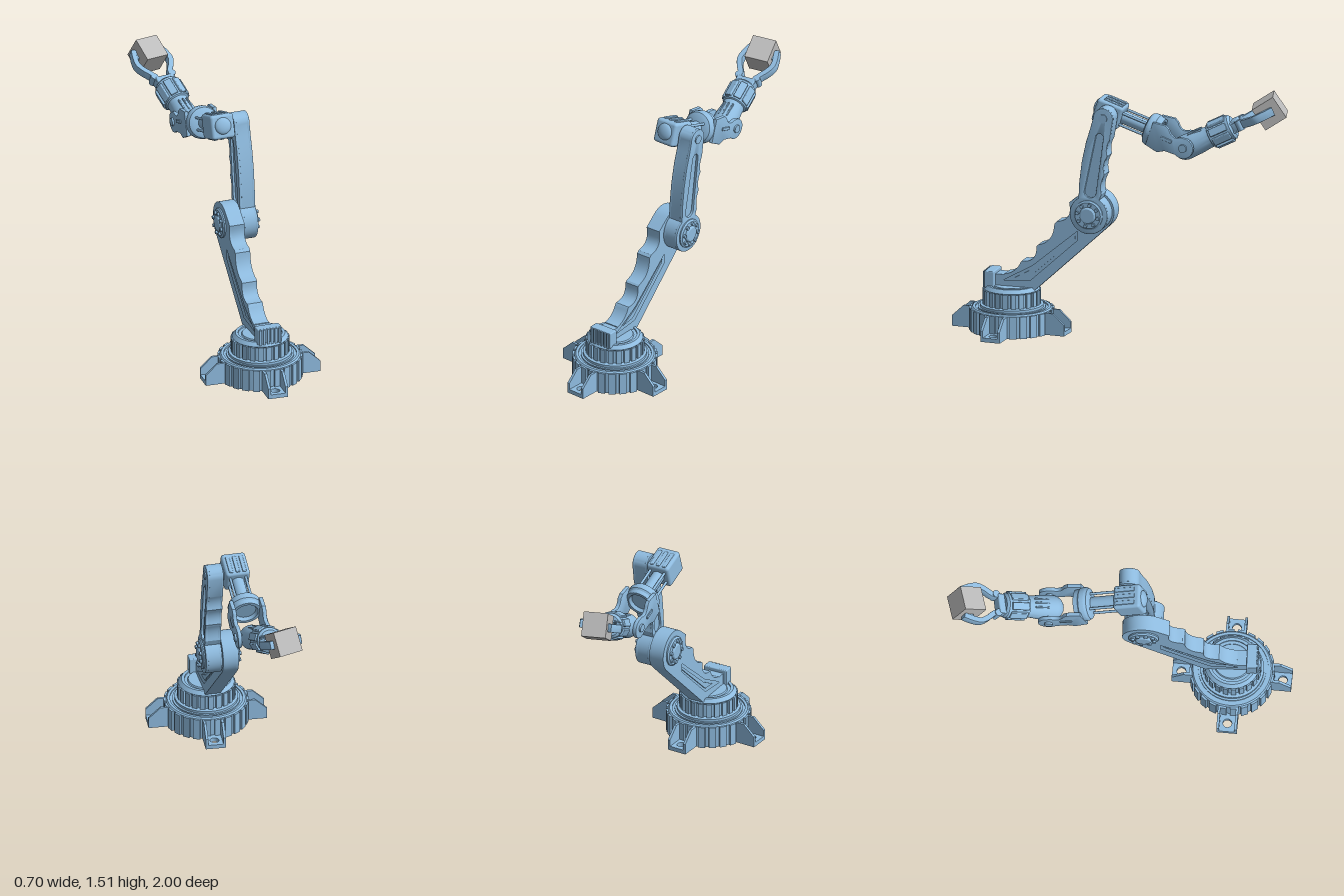
import * as THREE from 'three';
import { toCreasedNormals } from 'three/addons/utils/BufferGeometryUtils.js';
import { RoundedBoxGeometry } from 'three/addons/geometries/RoundedBoxGeometry.js';

const blue = new THREE.MeshStandardMaterial({ color: 0x8fbce0 });
blue.name = 'paintedBlue';
const grey = new THREE.MeshStandardMaterial({ color: 0xbcbcbc });
grey.name = 'cubeGrey';

function add(parent, name, geo, x = 0, y = 0, z = 0, mat = blue) {
  const mesh = new THREE.Mesh(geo, mat);
  mesh.name = name;
  mesh.position.set(x, y, z);
  parent.add(mesh);
  return mesh;
}

function group(parent, name) {
  const g = new THREE.Group();
  g.name = name;
  parent.add(g);
  return g;
}

const V = (a) => new THREE.Vector2(-a[0], a[1]);

// Points along an arc, angles in degrees
function arc(z, y, r, a0, a1, n = 20) {
  return Array.from({ length: n + 1 }, (_, i) => {
    const a = THREE.MathUtils.degToRad(a0 + (a1 - a0) * i / n);
    return [z + r * Math.cos(a), y + r * Math.sin(a)];
  });
}

// Points of a curved scoop from a to b, pulled towards c
function scoop(a, c, b) {
  const q = new THREE.QuadraticBezierCurve(...[a, c, b].map((p) => new THREE.Vector2(...p)));
  return q.getPoints(8).map((p) => [p.x, p.y]);
}

// Side profile of [z, y] points, extruded from x0 to x1
function side(points, x0, x1, hole, bevel = 0) {
  const shape = new THREE.Shape(points.map(V));
  if (hole) shape.holes.push(new THREE.Path(hole.map(V)));
  const geo = new THREE.ExtrudeGeometry(shape, {
    depth: x1 - x0 - 2 * bevel, bevelEnabled: bevel > 0, bevelThickness: bevel,
    bevelSize: bevel, bevelOffset: -bevel, bevelSegments: 2,
  });
  geo.rotateY(Math.PI / 2).translate(x0 + bevel, 0, 0);
  return toCreasedNormals(geo, 0.5);
}

const lathe = (pts, n = 64) =>
  toCreasedNormals(new THREE.LatheGeometry(pts.map((p) => new THREE.Vector2(...p)), n), 0.5);
const rodX = (r, len, n = 32) => new THREE.CylinderGeometry(r, r, len, n).rotateZ(Math.PI / 2);
const latheZ = (pts, n = 40) => lathe(pts, n).rotateX(Math.PI / 2);

// Ring of repeated blocks around the y axis
function ring(parent, name, count, radius, y, size, offset = 0) {
  for (let i = 0; i < count; i++) {
    const a = (i + offset) / count * Math.PI * 2;
    const m = add(parent, name, new THREE.BoxGeometry(...size), Math.sin(a) * radius, y, Math.cos(a) * radius);
    m.rotation.y = a;
  }
}

function buildBase(root) {
  const base = group(root, 'base');
  base.position.z = 0.65;
  add(base, 'pedestal', lathe([[0, 0.06], [0.13, 0.06], [0.13, 0], [0.236, 0], [0.236, 0.132], [0.228, 0.14],
    [0.212, 0.14], [0.212, 0.132], [0.198, 0.132], [0.198, 0.14], [0.186, 0.14], [0.186, 0.155], [0.158, 0.16],
    [0.158, 0.24], [0.164, 0.248], [0.145, 0.27], [0.128, 0.27], [0.128, 0.26], [0.11, 0.26], [0.105, 0.268], [0, 0.268]]));
  ring(base, 'baseRib', 24, 0.235, 0.066, [0.042, 0.132, 0.026], 0.5);
  ring(base, 'turntableRib', 22, 0.16, 0.202, [0.03, 0.085, 0.022]);
  // Four open mounting feet
  const floor = new THREE.Shape([[-0.058, 0.2], [0.058, 0.2], [0.058, 0.35], [-0.058, 0.35]].map((p) => new THREE.Vector2(...p)));
  floor.holes.push(new THREE.Path().absarc(0, 0.297, 0.026, 0, Math.PI * 2, true));
  const floorGeo = new THREE.ExtrudeGeometry(floor, { depth: 0.025, bevelEnabled: false, curveSegments: 20 })
    .rotateX(Math.PI / 2).translate(0, 0.025, 0);
  const cheek = [[0.2, 0], [0.35, 0], [0.35, 0.065], [0.28, 0.13], [0.2, 0.13]];
  for (let i = 0; i < 4; i++) {
    const foot = group(base, 'foot');
    foot.rotation.y = i * Math.PI / 2;
    add(foot, 'footFloor', floorGeo);
    add(foot, 'footCheek', side(cheek, -0.06, -0.045));
    add(foot, 'footCheek', side(cheek, 0.045, 0.06));
  }
}

// Round joint cap with bolts, facing +x or -x
function hub(parent, x, dir) {
  const h = group(parent, 'elbowHub');
  h.position.set(x, 0.76, 0.135);
  h.rotation.z = -dir * Math.PI / 2;
  add(h, 'hubCap', lathe([[0.088, 0], [0.088, 0.008], [0.078, 0.016], [0.05, 0.016], [0.046, 0.024], [0.04, 0.028], [0, 0.028]], 40));
  for (let i = 0; i < 8; i++) {
    const a = i * Math.PI / 4 + 0.2;
    add(h, 'hubBolt', new THREE.CylinderGeometry(0.011, 0.011, 0.018, 6), Math.cos(a) * 0.064, 0.019, Math.sin(a) * 0.064);
  }
}

function buildArm(root) {
  // The whole arm turns slightly about the base axis
  const turn = group(root, 'arm');
  turn.position.z = 0.65;
  turn.rotation.y = 0.06;
  const arm = group(turn, 'armParts');
  arm.position.z = -0.65;

  // Stop plate in front of the lower arm
  add(arm, 'stopPlate', new RoundedBoxGeometry(0.15, 0.1, 0.06, 2, 0.006), 0.005, 0.306, 0.765);
  for (let i = 0; i < 6; i++) add(arm, 'plateRib', new THREE.BoxGeometry(0.014, 0.095, 0.014), -0.055 + i * 0.024, 0.305, 0.797);

  const lower = [[0.74, 0.25], [0.74, 0.335], [0.68, 0.335],
    ...scoop([0.68, 0.34], [0.61, 0.35], [0.58, 0.42]), ...scoop([0.575, 0.425], [0.48, 0.42], [0.485, 0.52]),
    ...scoop([0.475, 0.53], [0.38, 0.55], [0.375, 0.665]), ...scoop([0.36, 0.68], [0.26, 0.69], [0.285, 0.8]),
    ...arc(0.135, 0.76, 0.125, 50, 229), [0.5, 0.25]];
  const lowerSlot = [[0.235, 0.63], [0.235, 0.575], [0.52, 0.315], [0.69, 0.3], [0.51, 0.4]];
  add(arm, 'lowerArmCore', side(lower, -0.036, 0.03));
  add(arm, 'lowerArmCheek', side(lower, -0.05, -0.034, lowerSlot));
  add(arm, 'lowerArmCheek', side(lower, 0.028, 0.043, lowerSlot));
  const inlay = [[0.25, 0.6], [0.25, 0.582], [0.53, 0.33], [0.62, 0.32], [0.51, 0.38]];
  add(arm, 'lowerArmInlay', side(inlay, -0.044, 0.038));

  const upper = [...arc(0.135, 0.76, 0.115, 58, -235, 40),
    ...scoop([0.055, 0.89], [0.07, 0.95], [0.04, 1.0]), ...scoop([0.037, 1.01], [0.055, 1.06], [0.025, 1.11]),
    ...scoop([0.02, 1.12], [0.035, 1.17], [0.005, 1.22]),
    ...arc(0.047, 1.347, 0.06, 185, 0), [0.125, 1.28], [0.15, 1.2], [0.176, 1.08], [0.192, 0.95]];
  const upperSlot = [...arc(0.125, 0.9, 0.036, 180, 360, 12), ...arc(0.068, 1.23, 0.024, 0, 180, 12)];
  add(arm, 'upperArmCore', side(upper, 0.06, 0.128));
  add(arm, 'upperArmCheek', side(upper, 0.046, 0.062, upperSlot, 0.003));
  add(arm, 'upperArmCheek', side(upper, 0.126, 0.143, upperSlot, 0.003));
  add(arm, 'shoulderPin', rodX(0.026, 0.11), 0.095, 1.347, 0.047);
  hub(arm, 0.142, 1);
  hub(arm, -0.05, -1);
}

// Group at one point with its +z axis aimed at another
function aimed(root, name, from, to) {
  const g = group(root, name);
  g.position.set(...from);
  g.lookAt(...to);
  return g;
}

function buildForearm(root) {
  const f = aimed(root, 'forearm', [-0.07, 1.345, 0.06], [-0.1, 1.187, -0.41]);
  add(f, 'forearmMotorBox', new RoundedBoxGeometry(0.145, 0.145, 0.165, 3, 0.018));
  for (const x of [-0.04, 0, 0.04]) {
    add(f, 'motorBoxFin', new RoundedBoxGeometry(0.024, 0.158, 0.12, 2, 0.005), x, 0, 0.01);
  }
  const dome = add(f, 'motorDome', new THREE.SphereGeometry(0.05, 32, 16), 0, 0.005, -0.08);
  dome.scale.z = 0.45;
  add(f, 'pinToUpperArm', rodX(0.035, 0.1), -0.06, 0, 0.012);
  add(f, 'forearmTube', new THREE.CylinderGeometry(0.038, 0.038, 0.2, 32).rotateX(Math.PI / 2), 0, 0, 0.17);
  for (const x of [-1, 1]) for (const y of [-1, 1]) {
    add(f, 'forearmRod', new THREE.CylinderGeometry(0.008, 0.008, 0.2, 12).rotateX(Math.PI / 2), x * 0.046, y * 0.036, 0.17);
  }
  add(f, 'forearmCollar', latheZ([[0, 0.235], [0.07, 0.235], [0.09, 0.245], [0.098, 0.26], [0.098, 0.29], [0.09, 0.3],
    [0.088, 0.325], [0.07, 0.325], [0.06, 0.305], [0, 0.305]]));
  // Fork prongs with a rounded eye
  const prong = [[0.28, -0.07], [0.36, -0.085], [0.4, -0.06], ...arc(0.5, -0.002, 0.062, -120, 100, 20),
    ...scoop([0.465, 0.055], [0.42, 0.02], [0.385, 0.075]), [0.36, 0.088], [0.28, 0.075]];
  for (const s of [-1, 1]) {
    add(f, 'forkProng', side(prong, s * 0.089 - 0.012, s * 0.089 + 0.012, null, 0.004));
    add(f, 'pivotCap', rodX(0.024, 0.016), s * 0.104, 0, 0.5);
    add(f, 'prongRib', new RoundedBoxGeometry(0.012, 0.02, 0.07, 2, 0.004), s * 0.102, 0.01, 0.39);
  }
  add(f, 'pivotPin', rodX(0.02, 0.17), 0, 0, 0.5);
}

function buildWrist(root) {
  const w = aimed(root, 'wrist', [-0.096, 1.168, -0.4], [-0.203, 1.41, -0.88]);
  // Domed knuckle running into the wrist barrel
  add(w, 'wristBarrel', latheZ([...arc(0, 0, 0.073, -90, 0, 12), [0.071, 0.08], [0.064, 0.14], [0.064, 0.165], [0.074, 0.17],
    [0.074, 0.305], [0.06, 0.318], [0, 0.318]]));
  for (let i = 0; i < 8; i++) {
    const a = (i + 0.5) * Math.PI / 4;
    const sleeve = add(w, 'wristSleevePad', new RoundedBoxGeometry(0.046, 0.018, 0.11, 2, 0.005),
      Math.sin(a) * 0.075, Math.cos(a) * 0.075, 0.235);
    sleeve.rotation.z = -a;
  }
  for (const x of [-0.026, 0, 0.026]) {
    add(w, 'barrelRib', new RoundedBoxGeometry(0.01, 0.014, 0.09, 2, 0.004), x, Math.sqrt(0.0046 - x * x), 0.09);
  }
  add(w, 'gripperBase', new RoundedBoxGeometry(0.12, 0.07, 0.05, 2, 0.008), 0, 0, 0.332);

  // Curved fingers, bowed out around the cube
  const path = new THREE.CatmullRomCurve3([[0.045, 0.32], [0.058, 0.385], [0.09, 0.435], [0.108, 0.48], [0.1, 0.535], [0.083, 0.585]]
    .map((p) => new THREE.Vector3(p[0], p[1], 0)));
  const outer = [], inner = [];
  for (let i = 0; i <= 24; i++) {
    const p = path.getPoint(i / 24), t = path.getTangent(i / 24);
    outer.push(new THREE.Vector2(p.x + t.y * 0.013, p.y - t.x * 0.013));
    inner.unshift(new THREE.Vector2(p.x - t.y * 0.013, p.y + t.x * 0.013));
  }
  const fingerGeo = toCreasedNormals(new THREE.ExtrudeGeometry(new THREE.Shape([...outer, ...inner]), {
    depth: 0.042, bevelThickness: 0.004, bevelSize: 0.003, bevelSegments: 2,
  }).translate(0, 0, -0.021).rotateX(Math.PI / 2), 0.5);
  for (const turn of [0, Math.PI]) {
    const finger = group(w, 'gripperFinger');
    finger.rotation.z = turn;
    add(finger, 'fingerBlade', fingerGeo);
    add(finger, 'fingerPad', new RoundedBoxGeometry(0.016, 0.035, 0.05, 2, 0.004), 0.08, 0, 0.55);
    add(finger, 'fingerKnuckle', new THREE.CylinderGeometry(0.022, 0.022, 0.062, 20), 0.058, 0, 0.365);
  }

  // Held cube
  const cube = add(root, 'heldCube', new THREE.BoxGeometry(0.146, 0.146, 0.146), -0.203, 1.41, -0.885, grey);
  cube.rotation.set(0.58, 0.29, -0.04, 'YXZ');
}

export function createModel() {
  const model = new THREE.Group();
  model.name = 'robotArm';
  buildBase(model);
  buildArm(model);
  buildForearm(model);
  buildWrist(model);
  return model;
}
